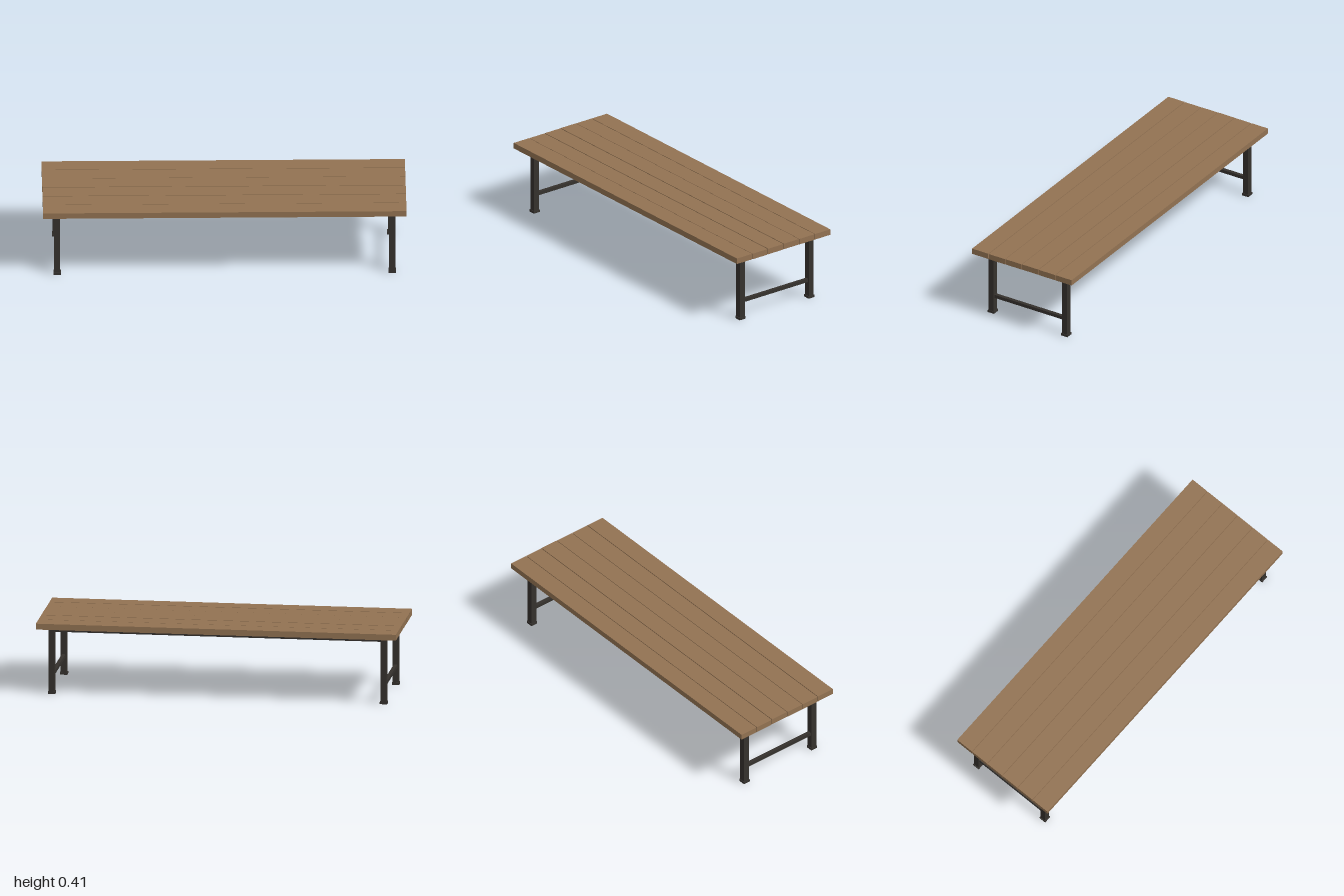
import * as THREE from 'three';

export function createModel() {
  const model = new THREE.Group();
  model.name = 'bench';
  const wood = new THREE.MeshStandardMaterial({ color: 0x927252 });
  wood.name = 'wood';
  const metal = new THREE.MeshStandardMaterial({ color: 0x35312d });
  metal.name = 'darkMetal';

  // Box given by size and centre
  const box = (name, material, [w, h, d], [x, y, z]) => {
    const mesh = new THREE.Mesh(new THREE.BoxGeometry(w, h, d), material);
    mesh.name = name;
    mesh.position.set(x, y, z);
    model.add(mesh);
    return mesh;
  };

  // Six seat planks with narrow gaps and slightly uneven heights
  const pitch = 0.109;
  [0, -0.0007, 0, 0.0008, 0, 0].forEach((lift, i) => {
    box(`plank${i + 1}`, wood, [2, 0.033, 0.1055], [0, 0.3925 + lift, (2.5 - i) * pitch]);
  });

  const legX = 0.922, legZ = 0.24, legW = 0.034;

  // Legs with wider feet
  for (const sx of [1, -1]) {
    for (const sz of [1, -1]) {
      const tag = (sz > 0 ? 'front' : 'back') + (sx > 0 ? 'Left' : 'Right');
      box(`${tag}Leg`, metal, [legW, 0.366, legW], [sx * legX, 0.193, sz * legZ]);
      box(`${tag}Foot`, metal, [0.041, 0.013, 0.041], [sx * legX, 0.0065, sz * legZ]);
    }
    // Low stretcher between the legs at each end
    box(sx > 0 ? 'leftStretcher' : 'rightStretcher', metal,
      [0.02, 0.019, 2 * legZ - legW], [sx * legX, 0.1055, 0]);
  }

  // Long rails under the planks
  for (const sz of [1, -1]) {
    box(sz > 0 ? 'frontRail' : 'backRail', metal,
      [2 * legX - legW, 0.026, 0.024], [0, 0.363, sz * legZ]);
  }
  return model;
}
